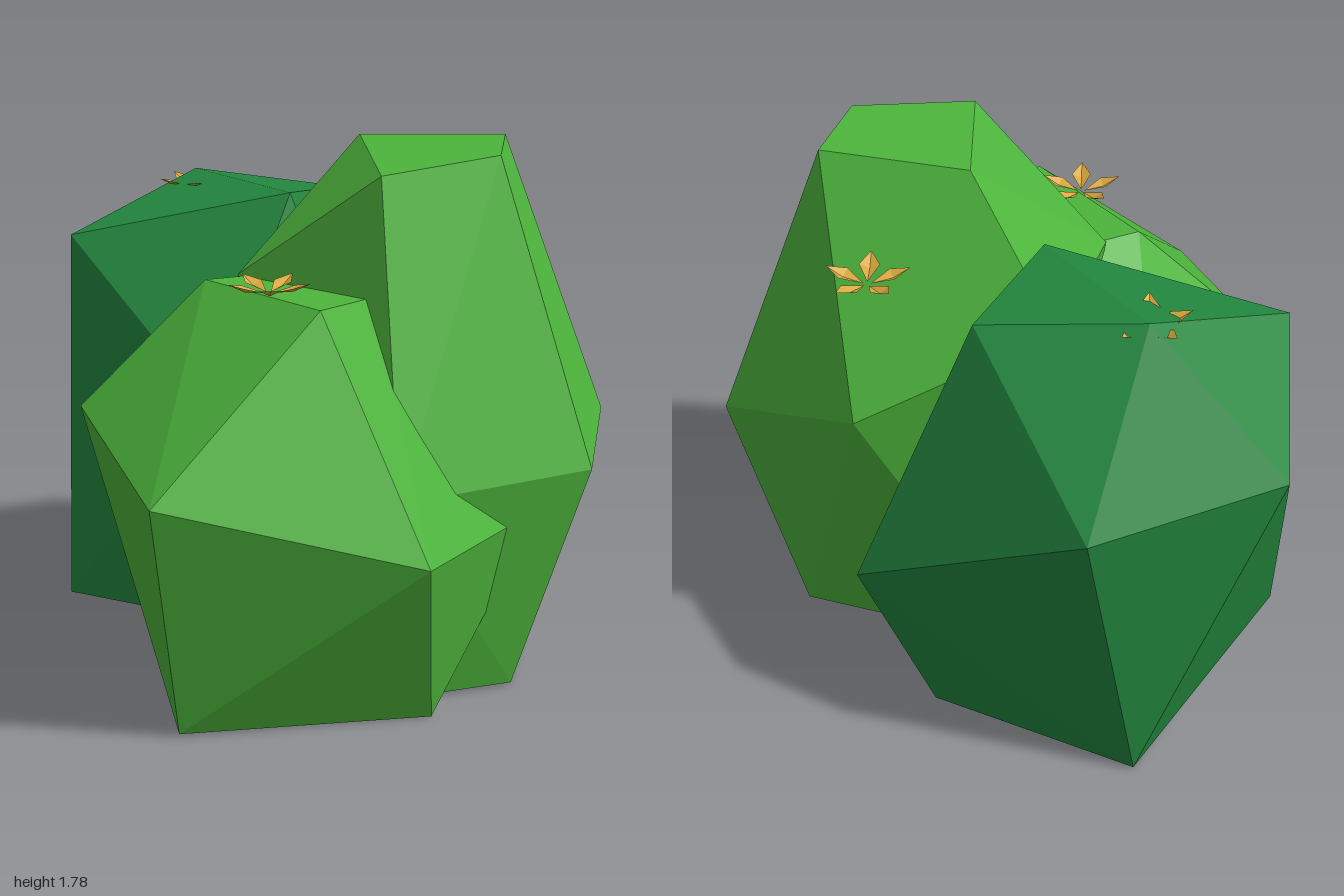
import * as THREE from 'three';
import { ConvexGeometry } from 'three/addons/geometries/ConvexGeometry.js';

function material(name, color, extra = {}) {
  const m = new THREE.MeshStandardMaterial({ color, ...extra });
  m.name = name;
  return m;
}

// Faceted bush lump: convex hull around a few corner points
function lump(name, mat, corners) {
  const geometry = new ConvexGeometry(corners.map((c) => new THREE.Vector3(...c)));
  const mesh = new THREE.Mesh(geometry, mat);
  mesh.name = name;
  return mesh;
}

// One kite-shaped petal, folded along its middle and curling upward
function petalGeometry() {
  const root = [0.012, 0, 0], fold = [0.08, 0.008, 0], tip = [0.135, 0.036, 0];
  const sideA = [0.078, 0.022, 0.032], sideB = [0.078, 0.022, -0.032];
  const faces = [root, sideA, fold, root, fold, sideB, fold, sideA, tip, fold, tip, sideB];
  const g = new THREE.BufferGeometry();
  g.setAttribute('position', new THREE.Float32BufferAttribute(faces.flat(), 3));
  g.computeVertexNormals();
  return g;
}

function flower(name, mat, geometry, x, y, z) {
  const group = new THREE.Group();
  group.name = name;
  for (let i = 0; i < 5; i++) {
    const petal = new THREE.Mesh(geometry, mat);
    petal.name = 'petal';
    petal.rotation.y = (i / 5) * Math.PI * 2;
    group.add(petal);
  }
  group.position.set(x, y, z);
  return group;
}

export function createModel() {
  const model = new THREE.Group();
  model.name = 'floweringBush';
  const leafGreen = material('leaf green', 0x4db53c, { flatShading: true });
  const deepGreen = material('deep green', 0x23873f, { flatShading: true });
  const gold = material('petal gold', 0xdaa940, { flatShading: true, side: THREE.DoubleSide });

  // Tall lump
  model.add(lump('tallBush', leafGreen, [
    [0.13, 1.77, -0.24], [0.61, 1.78, -0.3], [0.65, 1.765, 0.03], [0.32, 1.725, 0.27],
    [0.95, 0.82, -0.45], [0.99, 0.79, 0.14], [0.36, 1.06, -0.68], [0.45, 0.76, 0.54],
    [-0.22, 1.37, -0.42], [-0.18, 1.36, 0.15],
    [0.75, 0.01, 0.12], [0.72, 0.01, -0.41], [-0.1, 0.01, -0.38], [0.1, 0.01, 0.25], [0.4, 0.01, 0.35],
  ]));

  // Low front lump
  model.add(lump('frontBush', leafGreen, [
    [-0.26, 1.36, 0.25], [0.2, 1.36, 0.55], [0.31, 1.35, 0.3], [0, 1.35, 0],
    [-0.63, 0.96, 0.43], [-0.2, 0.84, 1], [0.585, 0.62, 0.71], [0.82, 0.62, 0.08], [-0.46, 0.9, -0.15],
    [-0.2, 0.01, 0.77], [0.54, 0, 0.42], [-0.46, 0.01, 0.02], [0.2, 0.01, 0],
  ]));

  // Dark back lump
  model.add(lump('backBush', deepGreen, [
    [-0.55, 1.57, -0.56], [-0.86, 1.4, -0.11], [-0.11, 1.56, -0.24], [-0.04, 1.51, -0.66],
    [-1, 1.12, -0.58], [-0.52, 1.07, -1], [0.28, 0.63, -0.88], [0.25, 0.63, -0.2],
    [-0.28, 0.89, 0.14], [-0.85, 0.13, 0.03],
    [-0.62, 0.01, -0.79], [0.1, 0.01, -0.72], [-0.12, 0.01, -0.08],
  ]));

  // Flowers, one for each lump
  const petal = petalGeometry();
  model.add(flower('frontFlower', gold, petal, 0, 1.372, 0.415));
  model.add(flower('tallFlower', gold, petal, 0.34, 1.51, -0.565));
  model.add(flower('backFlower', gold, petal, -0.53, 1.515, -0.5));
  return model;
}
